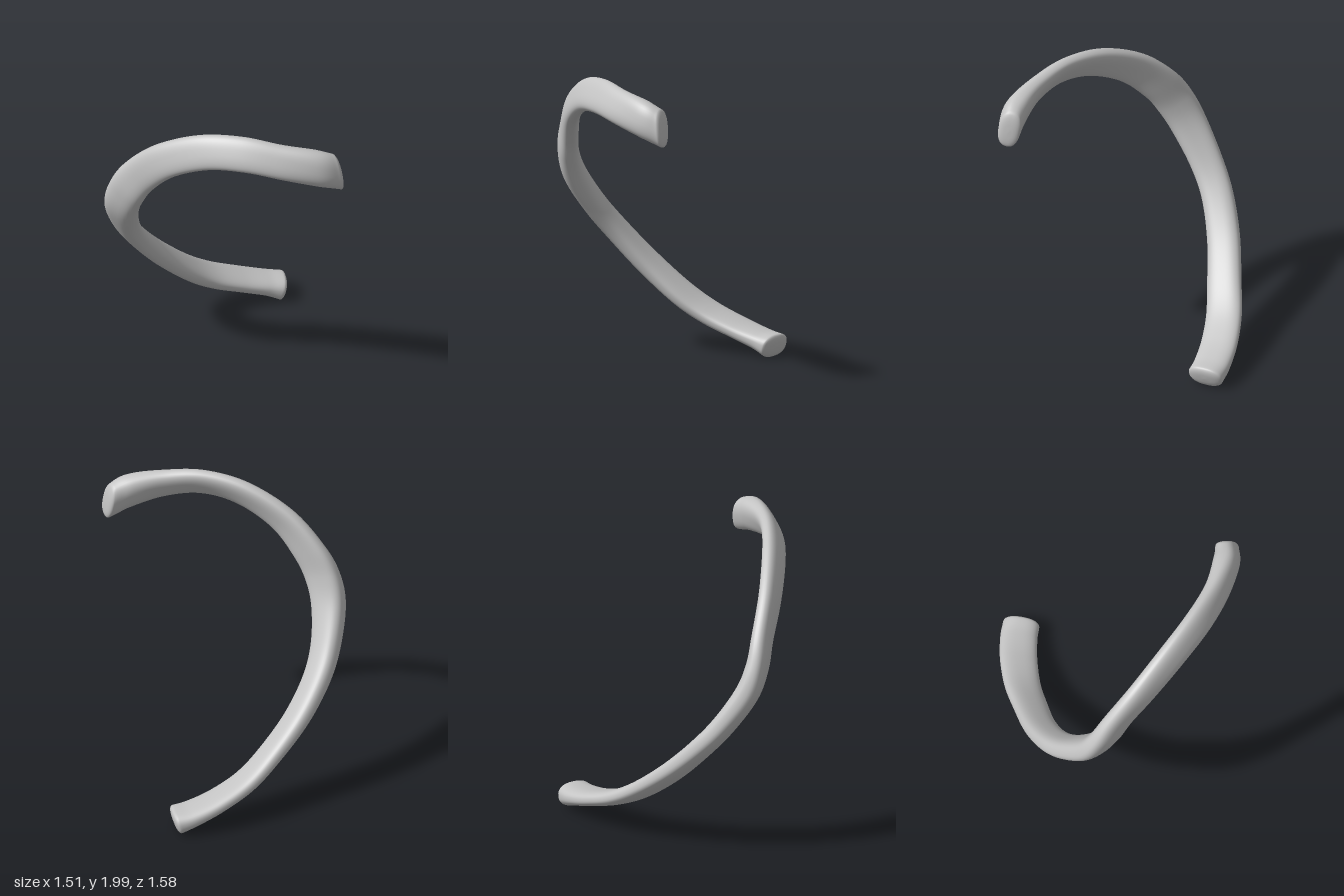
import * as THREE from 'three';

// Stations along the bone: centre, direction of the broad axis, half width, half thickness
const STATIONS = [
  [0.71, 1.765, 0.68, -0.16, 1, -0.12, 0.128, 0.075],
  [0.58, 1.812, 0.70, -0.05, 1, -0.22, 0.126, 0.085],
  [0.35, 1.86, 0.678, 0.05, 0.93, -0.4, 0.118, 0.066],
  [0.1, 1.893, 0.6, 0, 0.85, -0.5, 0.12, 0.058],
  [-0.15, 1.854, 0.475, -0.15, 0.8, -0.55, 0.12, 0.06],
  [-0.39, 1.718, 0.322, -0.4, 0.7, -0.6, 0.123, 0.063],
  [-0.545, 1.532, 0.188, -0.6, 0.5, -0.6, 0.13, 0.068],
  [-0.622, 1.37, 0.11, -0.68, 0.4, -0.6, 0.13, 0.078],
  [-0.645, 1.2, 0.02, -0.7, 0.35, -0.6, 0.122, 0.087],
  [-0.6, 0.985, -0.125, -0.6, 0.35, -0.7, 0.11, 0.08],
  [-0.512, 0.8, -0.252, -0.5, 0.35, -0.75, 0.108, 0.074],
  [-0.352, 0.585, -0.377, -0.4, 0.35, -0.85, 0.113, 0.068],
  [-0.145, 0.384, -0.485, -0.3, 0.3, -0.9, 0.118, 0.061],
  [0.03, 0.26, -0.57, -0.22, 0.2, -0.95, 0.122, 0.057],
  [0.23, 0.173, -0.635, -0.15, 0.12, -1, 0.125, 0.056],
  [0.4, 0.116, -0.667, -0.1, 0.05, -1, 0.124, 0.064],
  [0.505, 0.085, -0.672, -0.02, 0.03, -1, 0.122, 0.08],
];

// Smooth curve through some columns of the stations
const track = (pick) => new THREE.CatmullRomCurve3(
  STATIONS.map((s) => new THREE.Vector3(...pick(s))), false, 'catmullrom', 0.5);

function boneGeometry(rings = 160, sides = 40, capRings = 6, capDepth = 0.03) {
  const centre = track((s) => s.slice(0, 3));
  const broad = track((s) => s.slice(3, 6));
  const size = track((s) => [s[6], s[7], 0]);

  // Sections [position, shift, scale]: rounded cap, shaft, rounded cap
  const cap = [];
  for (let k = 0; k <= capRings; k++) {
    const a = (k / capRings) * Math.PI / 2;
    cap.push([Math.cos(a) * capDepth, Math.pow(Math.sin(a), 0.7)]);
  }
  const sections = cap.map(([d, s]) => [0, -d, s]);
  for (let i = 1; i < rings; i++) sections.push([i / rings, 0, 1]);
  sections.push(...cap.reverse().map(([d, s]) => [1, d, s]));

  const positions = [];
  const index = [];
  sections.forEach(([u, shift, scale], i) => {
    const t = centre.getTangent(u);
    const c = centre.getPoint(u).addScaledVector(t, shift);
    const m = broad.getPoint(u).normalize();
    const o = new THREE.Vector3().crossVectors(t, m).normalize();
    const s = size.getPoint(u);
    // Shallow groove along the shaft, fading at both ends
    const groove = 0.1 * Math.sin(Math.PI * u);
    for (let j = 0; j < sides; j++) {
      const a = (j / sides) * Math.PI * 2;
      const ca = Math.cos(a), sa = Math.sin(a);
      const w = Math.sign(ca) * Math.pow(Math.abs(ca), 0.84) * s.x * scale;
      const h = Math.sign(sa) * Math.pow(Math.abs(sa), 0.84) * s.y * scale * (1 - groove * sa * sa);
      const p = c.clone().addScaledVector(m, w).addScaledVector(o, h);
      positions.push(p.x, p.y, p.z);
      if (i === sections.length - 1) continue;
      const p0 = i * sides + j, p1 = i * sides + ((j + 1) % sides);
      index.push(p0, p1, p0 + sides, p1, p1 + sides, p0 + sides);
    }
  });

  const g = new THREE.BufferGeometry();
  g.setAttribute('position', new THREE.Float32BufferAttribute(positions, 3));
  g.setIndex(index);
  g.computeVertexNormals();
  return g;
}

export function createModel() {
  const boneGrey = new THREE.MeshStandardMaterial({ color: 0xc4c4c4 });
  boneGrey.name = 'bone grey';
  const group = new THREE.Group();
  group.name = 'ribBone';
  const shaft = new THREE.Mesh(boneGeometry(), boneGrey);
  shaft.name = 'curvedRib';
  group.add(shaft);
  return group;
}
